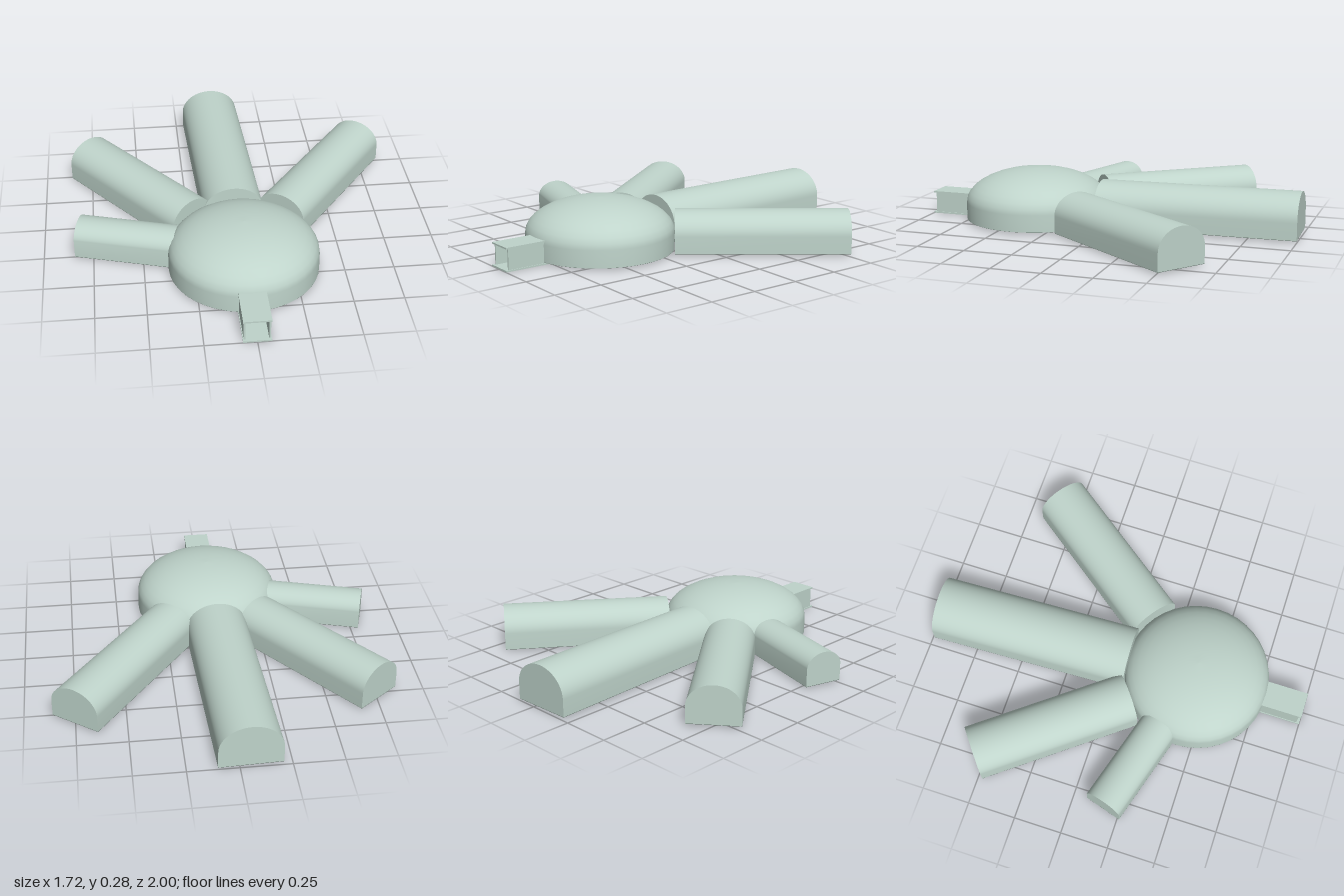
import * as THREE from 'three';
import { toCreasedNormals } from 'three/addons/utils/BufferGeometryUtils.js';

const shell = new THREE.MeshStandardMaterial({ color: 0xbfd4cb, side: THREE.DoubleSide });
shell.name = 'pale green shell';
const dark = new THREE.MeshStandardMaterial({ color: 0x5f6d66, side: THREE.DoubleSide });
dark.name = 'dark underside';

const BASE = 0.012;   // underside of the building
const SPRING = 0.1;   // height where walls turn into vaults
const HUB_Z = 0.415, HUB_R = 0.378;

function add(parent, name, geometry, material, x = 0, y = 0, z = 0) {
  const mesh = new THREE.Mesh(geometry, material);
  mesh.name = name;
  mesh.position.set(x, y, z);
  parent.add(mesh);
  return mesh;
}

// Barrel-vaulted hall running from its hub end to its far end, given as [x, z]
function makeHall(name, near, far, width, height) {
  const hall = new THREE.Group();
  hall.name = name;
  const dx = far[0] - near[0], dz = far[1] - near[1];
  const length = Math.hypot(dx, dz), h = width / 2;

  const profile = new THREE.Shape();
  profile.moveTo(-h, BASE);
  profile.lineTo(h, BASE);
  profile.lineTo(h, SPRING);
  profile.absellipse(0, SPRING, h, height - SPRING, 0, Math.PI, false, 0);
  profile.closePath();
  const vault = new THREE.ExtrudeGeometry(profile, { depth: length, bevelEnabled: false, curveSegments: 14 });
  add(hall, name + 'Vault', toCreasedNormals(vault, 0.6), shell);

  // Dark floor underneath
  const floor = new THREE.PlaneGeometry(width, length);
  floor.rotateX(Math.PI / 2);
  add(hall, name + 'Floor', floor, dark, 0, BASE - 0.002, length / 2);

  hall.position.set(near[0], 0, near[1]);
  hall.rotation.y = Math.atan2(dx, dz);
  return hall;
}

// Round hall with a low dome and a floor pierced by openings
function makeHub() {
  const hub = new THREE.Group();
  hub.name = 'hub';
  hub.position.z = HUB_Z;

  const profile = [new THREE.Vector2(HUB_R, BASE)];
  const steps = 10;
  for (let i = 0; i <= steps; i++) {
    const a = (i / steps) * Math.PI / 2;
    profile.push(new THREE.Vector2(HUB_R * Math.cos(a), SPRING + 0.176 * Math.sin(a)));
  }
  profile[profile.length - 1].x = 0;
  add(hub, 'dome', new THREE.LatheGeometry(profile, 40), shell);

  const disc = new THREE.Shape();
  disc.absarc(0, 0, HUB_R, 0, Math.PI * 2, false);
  const openings = [[0, 0, 0.153], [0.217, 0.02, 0.052], [-0.217, 0.02, 0.052], [0, -0.232, 0.052]];
  for (const [x, z, r] of openings) {
    const hole = new THREE.Path();
    hole.absarc(x, z, r, 0, Math.PI * 2, true);
    disc.holes.push(hole);
  }
  const floor = new THREE.ShapeGeometry(disc, 20);
  floor.rotateX(Math.PI / 2);
  add(hub, 'hubFloor', floor, dark, 0, BASE - 0.001, 0);
  return hub;
}

// Open porch with thin floor, roof and side walls
function makePorch() {
  const porch = new THREE.Group();
  porch.name = 'porch';
  add(porch, 'porchFloor', new THREE.BoxGeometry(0.136, 0.008, 0.265), shell, 0, 0.004, 0.8675);
  add(porch, 'porchRoof', new THREE.BoxGeometry(0.136, 0.008, 0.24), shell, 0, 0.117, 0.877);
  for (const side of [-1, 1]) {
    add(porch, 'porchWall', new THREE.BoxGeometry(0.008, 0.106, 0.235), shell, side * 0.06, 0.061, 0.867);
  }
  add(porch, 'door', new THREE.BoxGeometry(0.06, 0.072, 0.008), shell, 0, 0.044, 0.796);
  return porch;
}

export function createModel() {
  const model = new THREE.Group();
  model.name = 'domedBuilding';
  model.add(makeHub(), makePorch());
  model.add(makeHall('backHall', [-0.015, 0.055], [-0.053, -0.995], 0.312, 0.23));
  model.add(makeHall('backRightHall', [-0.235, 0.115], [-0.757, -0.557], 0.263, 0.21));
  model.add(makeHall('backLeftHall', [0.225, 0.11], [0.752, -0.59], 0.27, 0.21));
  model.add(makeHall('shortRightHall', [-0.33, 0.311], [-0.816, 0.166], 0.198, 0.178));
  return model;
}
